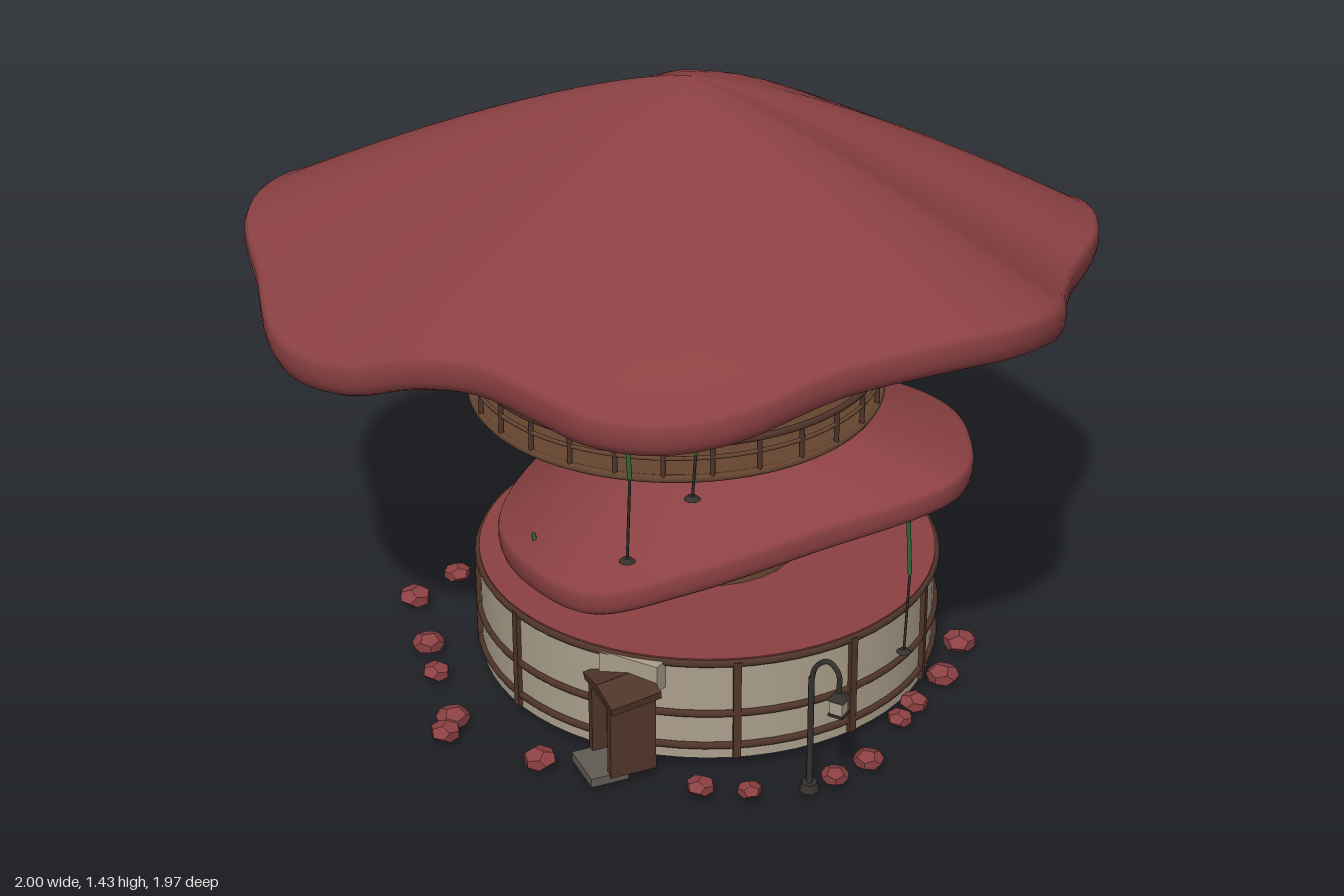
import * as THREE from 'three';

const mat = (name, color, extra = {}) => Object.assign(new THREE.MeshStandardMaterial({ color, ...extra }), { name });
const V = (x, y, z) => new THREE.Vector3(x, y, z);

export function createModel() {
  const red = mat('cap red', 0x8c4143);
  const rockRed = mat('rock red', 0x8c4143, { flatShading: true });
  const cream = mat('plaster cream', 0xaca08c);
  const beam = mat('beam brown', 0x50352a);
  const bark = mat('bark brown', 0x664530);
  const green = mat('vine green', 0x2f6a33);
  const blue = mat('shelf blue', 0x5672c0);
  const iron = mat('dark iron', 0x35322e);
  const stone = mat('step grey', 0x625c55);

  const model = new THREE.Group();
  const add = (parent, name, geo, material, x = 0, y = 0, z = 0) => {
    const m = new THREE.Mesh(geo, material);
    m.name = name;
    m.position.set(x, y, z);
    parent.add(m);
    return m;
  };
  const group = (name, x = 0, y = 0, z = 0, turn = 0) => {
    const g = new THREE.Group();
    g.name = name;
    g.position.set(x, y, z);
    g.rotation.y = turn;
    model.add(g);
    return g;
  };
  const rod = (parent, name, a, b, r, material) => {
    const m = add(parent, name, new THREE.CylinderGeometry(r, r, a.distanceTo(b), 6), material);
    m.position.copy(a).lerp(b, 0.5);
    m.quaternion.setFromUnitVectors(V(0, 1, 0), b.clone().sub(a).normalize());
    return m;
  };
  const hoop = (parent, name, R, r, y, material, arc = Math.PI * 2) => {
    const geo = new THREE.TorusGeometry(R, r, 6, 64, arc);
    geo.rotateZ(Math.PI / 2 - arc / 2).rotateX(Math.PI / 2);
    return add(parent, name, geo, material, 0, y, 0);
  };
  // Skin over closed rings that all hold the same number of points
  const loft = (rings) => {
    const n = rings[0].length, idx = [];
    for (let i = 0; i < rings.length - 1; i++)
      for (let j = 0; j < n; j++) {
        const k = (j + 1) % n, a = i * n + j, b = i * n + k;
        idx.push(a, b, a + n, b, b + n, a + n);
      }
    const geo = new THREE.BufferGeometry().setFromPoints(rings.flat());
    geo.setIndex(idx);
    geo.computeVertexNormals();
    return geo;
  };

  // Wavy caps with a swollen lip: rim points are [x, lip height, z]
  const cap = (name, rim, peak, thick, core) => {
    const pts = new THREE.CatmullRomCurve3(rim.map((p) => V(...p)), true).getPoints(128).slice(0, -1);
    const edge = 0.975;
    const ring = (t, drop) => pts.map((p) => V(
      peak.x + (p.x - peak.x) * t,
      p.y + (peak.y - p.y) * (1 - Math.min(1, t / edge) ** 1.35) - drop,
      peak.z + (p.z - peak.z) * t));
    const rings = [];
    for (let i = 0; i <= 14; i++) rings.push(ring(0.002 + (edge - 0.002) * i / 14, 0));
    for (const [t, d] of [[0.987, 0.02], [0.995, 0.09], [1, 0.22], [1, 0.5], [0.996, 0.72], [0.988, 0.92], [0.975, 1]])
      rings.push(ring(t, d * thick));
    for (let i = 1; i <= 8; i++) {
      const t = edge - 0.96 * i / 8;
      rings.push(ring(t, thick + core * (1 - t / edge)));
    }
    add(model, name, loft(rings), red);
  };
  cap('upperCap', [
    [0.1, 0.93, -0.99], [0.35, 0.95, -0.9], [0.57, 1.01, -0.74], [0.74, 1.06, -0.6], [0.83, 1.08, -0.43],
    [0.87, 1.085, -0.19], [0.93, 1.12, 0], [1.0, 1.18, 0.2], [0.975, 1.205, 0.37], [0.89, 1.212, 0.51],
    [0.735, 1.19, 0.68], [0.595, 1.14, 0.87], [0.46, 1.115, 0.955], [0.31, 1.11, 0.98], [0.17, 1.115, 0.95],
    [0, 1.12, 0.915], [-0.16, 1.095, 0.915], [-0.32, 1.045, 0.925], [-0.48, 1.02, 0.885], [-0.605, 1.02, 0.805],
    [-0.775, 1.04, 0.615], [-0.935, 1.07, 0.44], [-1.0, 1.075, 0.27], [-0.98, 1.065, 0.11], [-0.88, 1.01, -0.09],
    [-0.78, 0.955, -0.29], [-0.73, 0.95, -0.45], [-0.64, 0.96, -0.61], [-0.48, 0.99, -0.73],
    [-0.29, 0.99, -0.82], [-0.13, 0.955, -0.92], [-0.02, 0.935, -0.98]], V(0, 1.437, 0), 0.088, 0.17);
  cap('lowerCap', [
    [0.16, 0.51, -0.53], [0.43, 0.54, -0.45], [0.61, 0.585, -0.25], [0.71, 0.615, 0.03], [0.5, 0.57, 0.33],
    [0.29, 0.51, 0.54], [0.1, 0.45, 0.625], [-0.12, 0.425, 0.55], [-0.32, 0.39, 0.35], [-0.395, 0.395, 0.08],
    [-0.34, 0.45, -0.26], [-0.14, 0.495, -0.46]], V(0.11, 0.72, 0.06), 0.065, 0.05);

  // Leaning trunk: stations are [y, centre x, centre z, radius], top first
  const stations = [[1.32, 0, 0.04, 0.15], [1.05, 0, 0.08, 0.178], [0.9, 0.005, 0.08, 0.188], [0.75, 0.01, 0.07, 0.165],
    [0.63, 0.03, 0.06, 0.145], [0.5, 0.07, 0.06, 0.18], [0.35, 0.08, 0.06, 0.215], [0.03, 0.08, 0.06, 0.25]];
  // Point on the bark; the angle runs from +z towards +x
  const onTrunk = (y, angle, out = 0) => {
    const i = Math.max(1, stations.findIndex((s) => s[0] <= y)), a = stations[i - 1], b = stations[i];
    const [, cx, cz, r] = a.map((v, k) => v + (b[k] - v) * (a[0] - y) / (a[0] - b[0]));
    return V(cx + Math.sin(angle) * (r + out), y, cz + Math.cos(angle) * (r + out));
  };
  const trunkRings = [];
  for (let i = 0; i <= 26; i++)
    trunkRings.push(Array.from({ length: 28 }, (_, j) => onTrunk(1.32 - 1.29 * i / 26, Math.PI / 2 - j * Math.PI / 14)));
  add(model, 'trunk', loft(trunkRings), bark);

  // Climbing vines: [start y, end y, start angle, end angle, radius]
  for (const [y0, y1, a0, a1, r] of [[0.31, 0.54, 0.1, 2.3, 0.011], [0.6, 0.84, -0.5, 2.1, 0.011],
    [0.72, 1.06, -1.1, 2.2, 0.008], [0.84, 1.1, 0.2, 4.2, 0.007], [1.08, 0.72, -0.9, -0.5, 0.008], [0.85, 1.1, 2.4, 5.2, 0.007]]) {
    const path = Array.from({ length: 15 }, (_, i) => onTrunk(
      y0 + (y1 - y0) * i / 14 + 0.008 * Math.sin(i * 1.9), a0 + (a1 - a0) * i / 14, 0.006));
    add(model, 'vine', new THREE.TubeGeometry(new THREE.CatmullRomCurve3(path), 50, r, 6), green);
  }

  // Round ground floor with timber framing
  const house = group('groundFloor', 0.078, 0, 0.055);
  add(house, 'wall', new THREE.CylinderGeometry(0.542, 0.542, 0.255, 64, 1, true), cream, 0, 0.162, 0);
  add(house, 'roofDeck', new THREE.CylinderGeometry(0.542, 0.542, 0.012, 64), red, 0, 0.291, 0);
  add(house, 'floorDisc', new THREE.CylinderGeometry(0.535, 0.535, 0.01, 64), red, 0, 0.037, 0);
  hoop(house, 'footRing', 0.235, 0.014, 0.018, beam);
  for (const y of [0.286, 0.155, 0.07]) hoop(house, 'wallRail', 0.544, 0.009, y, beam);
  for (let i = 0; i < 12; i++) {
    const a = (6 + i * 30) * Math.PI / 180;
    if (i) add(house, 'wallPost', new THREE.BoxGeometry(0.018, 0.25, 0.018), beam,
      Math.sin(a) * 0.544, 0.165, Math.cos(a) * 0.544).rotation.y = a;
  }

  // Front entrance, turned towards the right side
  add(model, 'porchBlock', new THREE.BoxGeometry(0.15, 0.07, 0.06), cream, 0.18, 0.255, 0.575);
  const entry = group('entrance', 0.18, 0, 0.605, -0.65);
  add(entry, 'doorLeaf', new THREE.BoxGeometry(0.1, 0.17, 0.05), red, 0, 0.12, 0.01);
  for (const s of [-1, 1]) {
    add(entry, 'doorJamb', new THREE.BoxGeometry(0.02, 0.19, 0.11), beam, s * 0.055, 0.125, 0.015);
    const slab = add(entry, 'doorCanopy', new THREE.BoxGeometry(0.09, 0.02, 0.12), beam, s * 0.04, 0.233, 0.015);
    slab.rotation.set(0.15, 0, -s * 0.2);
  }
  add(entry, 'doorHead', new THREE.BoxGeometry(0.11, 0.018, 0.11), beam, 0, 0.213, 0.015);
  add(entry, 'doorStep', new THREE.BoxGeometry(0.12, 0.022, 0.09), stone, 0, 0.026, 0.07);

  // Balcony open at the back
  const balcony = group('balcony', 0.02, 0, 0.1);
  const half = 2.27, R = 0.474;
  add(balcony, 'deck', new THREE.CylinderGeometry(R, R, 0.014, 64, 1, false, -half, half * 2), bark, 0, 0.722, 0);
  for (const [y, r] of [[0.806, 0.008], [0.772, 0.005], [0.722, 0.009]])
    hoop(balcony, 'balconyRail', R, r, y, y > 0.8 ? beam : bark, half * 2);
  for (let i = 0; i <= 20; i++) {
    const a = -half + half * i / 10, s = Math.sin(a), c = Math.cos(a);
    rod(balcony, 'baluster', V(s * R, 0.72, c * R), V(s * R, 0.806, c * R), 0.006, beam);
    if (i % 2 === 0) rod(balcony, 'brace', V(s * 0.43, 0.717, c * 0.43), V(s * 0.13, 0.59, c * 0.13 - 0.03), 0.009, beam);
  }

  // Balcony door
  const upper = group('balconyDoor', 0.02, 0.73, 0.25);
  add(upper, 'upperDoorLeaf', new THREE.BoxGeometry(0.085, 0.18, 0.03), red, 0, 0.095, 0);
  for (const s of [-1, 1]) add(upper, 'upperDoorJamb', new THREE.BoxGeometry(0.016, 0.2, 0.045), beam, s * 0.05, 0.1, 0);
  add(upper, 'upperDoorLintel', new THREE.BoxGeometry(0.15, 0.02, 0.07), beam, 0, 0.212, 0.015);

  // Trunk windows
  for (const [y, a] of [[0.905, 1.88], [0.37, 0.75]]) {
    const p = onTrunk(y, a), w = group('window', p.x, p.y, p.z, a);
    add(w, 'windowFrame', new THREE.BoxGeometry(0.08, 0.1, 0.025), beam);
    for (const x of [-0.015, 0.015]) for (const h of [-0.02, 0.02])
      add(w, 'windowPane', new THREE.BoxGeometry(0.02, 0.03, 0.006), cream, x, h, 0.012);
    add(w, 'windowHood', new THREE.BoxGeometry(0.105, 0.016, 0.05), red, 0, 0.057, 0.01);
  }

  // Blue shelf fungi
  for (const [y, a] of [[0.922, -0.85], [0.345, 2.45]])
    for (let i = 0; i < 3; i++) {
      const p = onTrunk(y + i * 0.033, a + [0.06, -0.1, 0.04][i], 0.025);
      add(model, 'shelfFungus', new THREE.SphereGeometry(0.066 - i * 0.004, 20, 10), blue, p.x, p.y, p.z).scale.y = 0.17;
    }

  // Hanging strands: [x, z, top, bottom]
  for (const [x, z, top, low] of [[-0.87, 0.1, 1.0, 0.74], [0.35, 0.89, 1.06, 0.74], [0.47, 0.83, 1.06, 0.89],
    [0.665, -0.6, 1.0, 0.76], [0.25, -0.84, 0.96, 0.84], [-0.31, -0.23, 0.46, 0.31], [0.64, 0.14, 0.54, 0.2], [-0.14, 0.48, 0.46, 0.36]]) {
    const mid = low + (top - low) * 0.6;
    rod(model, 'strandTop', V(x, top, z), V(x + 0.008, mid, z), 0.005, green);
    rod(model, 'strand', V(x + 0.008, mid, z), V(x, low, z), 0.003, iron);
    add(model, 'strandTip', new THREE.CylinderGeometry(0.008, 0.018, 0.009, 8), iron, x, low, z);
  }

  // Lamp with a hooked arm
  const lamp = group('lamp', 0.585, 0, 0.5);
  rod(lamp, 'lampPole', V(0, 0.015, 0), V(0, 0.31, 0), 0.007, iron);
  add(lamp, 'lampFoot', new THREE.CylinderGeometry(0.018, 0.024, 0.02, 8), iron, 0, 0.025, 0);
  const hook = new THREE.CatmullRomCurve3([V(0, 0.3, 0), V(0.01, 0.34, 0), V(0.04, 0.362, 0), V(0.065, 0.34, 0), V(0.068, 0.29, 0)]);
  add(lamp, 'lampArm', new THREE.TubeGeometry(hook, 20, 0.006, 6), iron);
  add(lamp, 'lanternGlass', new THREE.BoxGeometry(0.03, 0.036, 0.03), cream, 0.068, 0.258, 0);
  add(lamp, 'lanternCap', new THREE.ConeGeometry(0.03, 0.02, 4), iron, 0.068, 0.286, 0).rotation.y = Math.PI / 4;
  add(lamp, 'lanternBase', new THREE.BoxGeometry(0.036, 0.006, 0.036), iron, 0.068, 0.238, 0);

  // Rocks scattered around the wall
  let seed = 11;
  const rnd = () => (seed = (seed * 16807) % 2147483647) / 2147483647;
  for (let i = 0; i < 28; i++) {
    const a = (i + rnd() * 0.9) * Math.PI / 14, d = 0.58 + rnd() * 0.12, s = 0.027 + rnd() * 0.015;
    if (Math.abs(a - 0.12) < 0.15) continue;
    const rock = add(model, 'rock', new THREE.DodecahedronGeometry(s, 0), rockRed,
      0.045 + Math.sin(a) * d, 0.034, 0.09 + Math.cos(a) * d);
    rock.scale.y = 0.6;
    rock.rotation.y = rnd() * 6;
  }
  return model;
}
